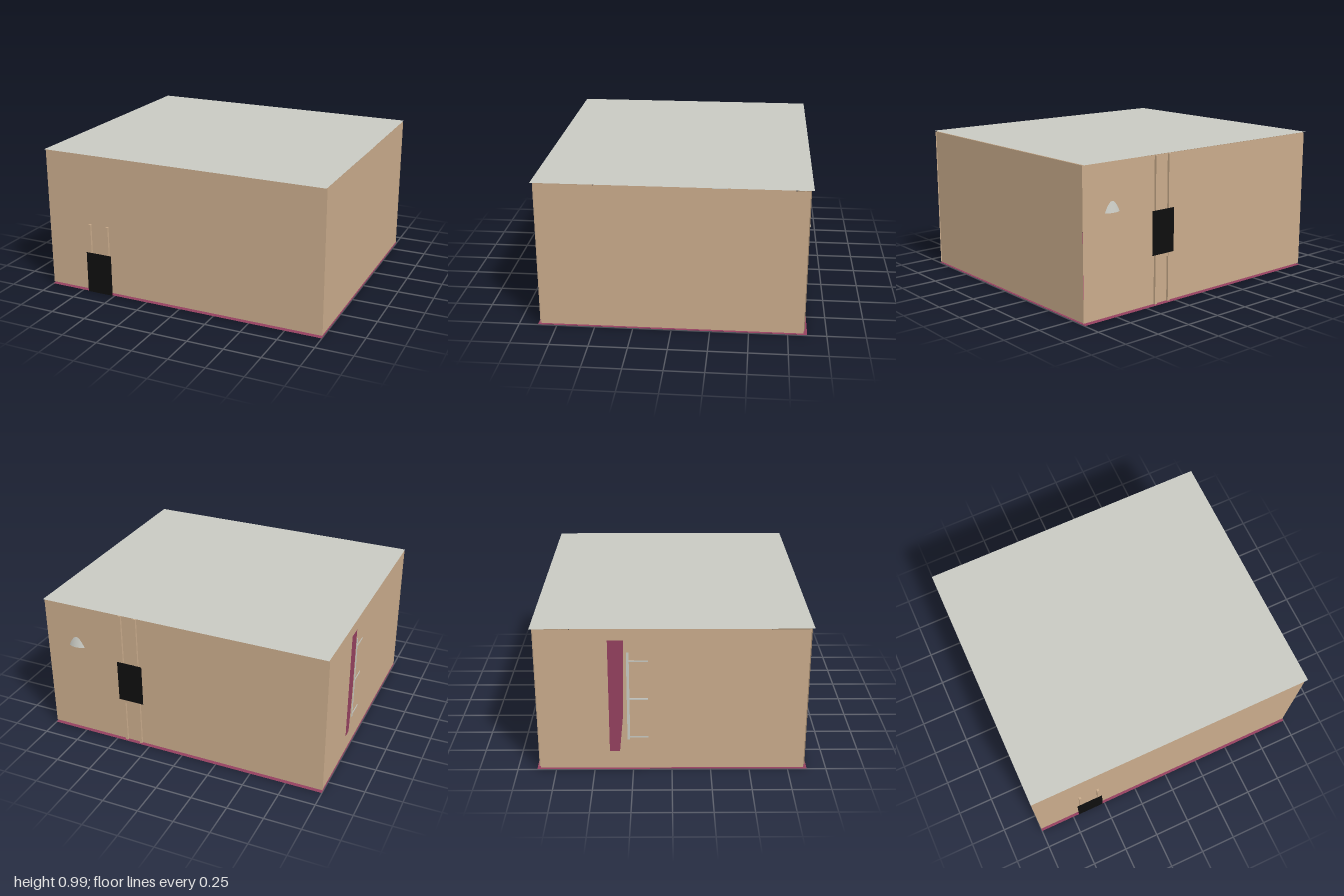
import * as THREE from 'three';

export function createModel() {
  const model = new THREE.Group();
  const mat = (name, color, side = THREE.DoubleSide) => {
    const m = new THREE.MeshStandardMaterial({ color, side });
    m.name = name;
    return m;
  };
  const tan = mat('tan wall', 0xc9ab8b);
  const grey = mat('pale grey', 0xc8c9c2);
  const plum = mat('plum', 0x94405f);
  const black = mat('black', 0x0e0e0e);

  const add = (name, geometry, material, x, y, z, parent = model) => {
    const mesh = new THREE.Mesh(geometry, material);
    mesh.name = name;
    mesh.position.set(x, y, z);
    parent.add(mesh);
    return mesh;
  };
  const box = (name, material, x0, x1, y0, y1, z0, z1, parent) =>
    add(name, new THREE.BoxGeometry(x1 - x0, y1 - y0, z1 - z0), material,
      (x0 + x1) / 2, (y0 + y1) / 2, (z0 + z1) / 2, parent);

  // Thin floor and roof sheets, with a slight overhang front and back
  const sheet = new THREE.PlaneGeometry(2, 1.75).rotateX(-Math.PI / 2);
  add('floor', sheet, plum, 0, 0.003, 0);
  add('roof', sheet, grey, 0, 0.987, 0);

  // Four walls with narrow gaps at the corners, floor and roof
  const wallY = 0.497, wallH = 0.97;
  for (const s of [1, -1]) {
    add(s > 0 ? 'frontWall' : 'backWall', new THREE.PlaneGeometry(2, wallH), tan, 0, wallY, s * 0.858);
    add(s > 0 ? 'leftWall' : 'rightWall', new THREE.PlaneGeometry(1.704, wallH).rotateY(Math.PI / 2),
      tan, s * 0.997, wallY, 0);
  }

  // Lift: two rails and a black sliding panel; s is the side of the room it is on
  function lift(name, s, railXs, railTop, panelX, panelY) {
    const g = new THREE.Group();
    g.name = name;
    const zs = (a, b) => [Math.min(s * a, s * b), Math.max(s * a, s * b)];
    for (const x of railXs) box('rail', tan, x - 0.008, x + 0.008, 0.012, railTop, ...zs(0.852, 0.873), g);
    box('slidingPanel', black, ...panelX, ...panelY, ...zs(0.872, 0.876), g);
    model.add(g);
    return g;
  }
  lift('frontLift', 1, [-0.675, -0.54], 0.495, [-0.705, -0.515], [0, 0.29]);
  const rear = lift('backLift', -1, [0.425, 0.315], 0.98, [0.28, 0.46], [0.34, 0.63]);
  box('panelSupport', tan, 0.315, 0.425, 0.315, 0.34, -0.87, -0.852, rear);

  // Lamp shade: a flared cone mostly sunk into the back wall
  add('lampShade', new THREE.CylinderGeometry(0.08, 0.103, 0.09, 48), grey, 0.775, 0.715, -0.773);

  // Tapering plum door strip on the right wall
  const door = new THREE.Shape([[0.40, 0.135], [0.335, 0.135], [0.31, 0.4], [0.3, 0.91], [0.40, 0.91]]
    .map(([z, y]) => new THREE.Vector2(-z, y)));
  add('doorStrip', new THREE.ShapeGeometry(door).rotateY(-Math.PI / 2), plum, -0.9995, 0, 0);

  // Slim bracket beside it: an upright with three arms
  const bracket = new THREE.Group();
  bracket.name = 'bracket';
  box('upright', grey, -1, -0.996, 0.22, 0.83, -0.285, -0.268, bracket);
  for (const y of [0.24, 0.51, 0.77]) box('arm', grey, -1, -0.996, y - 0.005, y + 0.005, -0.268, -0.15, bracket);
  model.add(bracket);

  return model;
}
